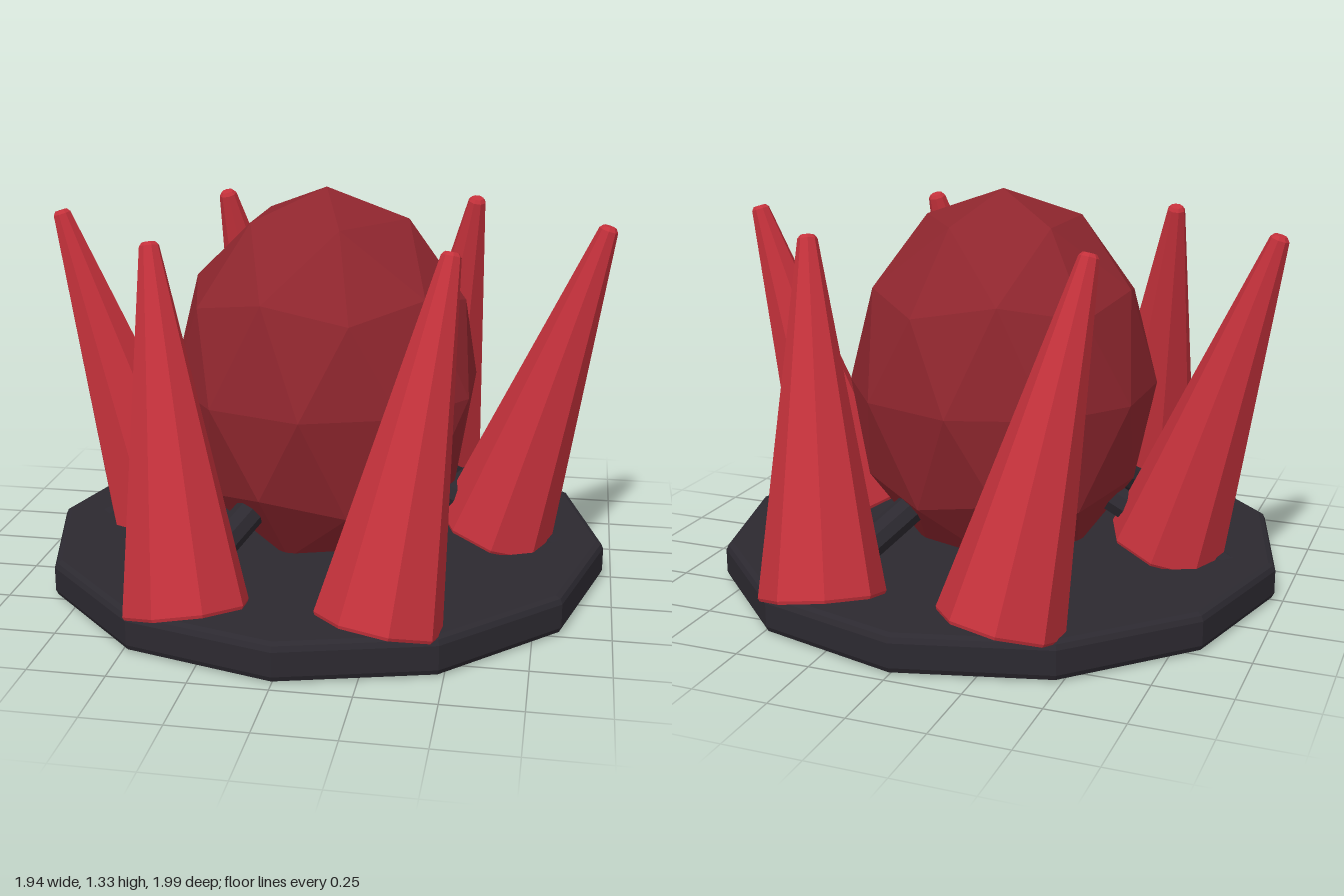
import * as THREE from 'three';

const mat = (color) => new THREE.MeshStandardMaterial({ color, flatShading: true });

// Faceted turned solid from [radius, height] points, listed bottom to top
const turned = (points, sides) =>
  new THREE.LatheGeometry(points.map(([r, y]) => new THREE.Vector2(r, y)), sides);

export function createModel() {
  const model = new THREE.Group();
  const dark = mat(0x2c2930), red = mat(0xc4313b), deepRed = mat(0x8f262e);

  const add = (name, geometry, material) => {
    const mesh = new THREE.Mesh(geometry, material);
    mesh.name = name;
    model.add(mesh);
    return mesh;
  };

  // Twelve-sided base slab with bevelled rims
  add('base', turned([
    [0, 0], [0.945, 0], [0.962, 0.008], [0.97, 0.025],
    [0.97, 0.105], [0.962, 0.122], [0.945, 0.13], [0, 0.13],
  ], 12), dark);

  // Faceted egg, turned so that one vertex points straight up
  const egg = new THREE.IcosahedronGeometry(1, 1);
  egg.rotateZ(-Math.atan(2 / (1 + Math.sqrt(5))));
  egg.scale(0.53, 0.665, 0.53);
  add('egg', egg, deepRed).position.y = 0.67;

  // Six leaning spikes and the struts that hold the egg
  const half = 0.57;
  const spikeGeometry = turned([
    [0, -half], [0.195, -half], [0.2, -half + 0.01],
    [0.032, half - 0.012], [0.022, half], [0, half],
  ], 8);
  const inner = new THREE.Vector2(0.35, 0.32), outer = new THREE.Vector2(0.82, 0.075);
  const strutGeometry = new THREE.CylinderGeometry(0.052, 0.052, inner.distanceTo(outer), 8);
  const strutTilt = Math.atan2(outer.x - inner.x, inner.y - outer.y);

  for (let i = 0; i < 6; i++) {
    const a = (i * Math.PI) / 3;

    const spike = add('spike', spikeGeometry, red);
    spike.position.set(0.763 * Math.cos(a), 0.685, 0.763 * Math.sin(a));
    spike.rotation.set(0, a, -0.305);

    const strut = add('strut', strutGeometry, dark);
    const r = (inner.x + outer.x) / 2;
    strut.position.set(r * Math.cos(a), (inner.y + outer.y) / 2, r * Math.sin(a));
    strut.rotation.set(0, -a, strutTilt);
  }
  return model;
}
